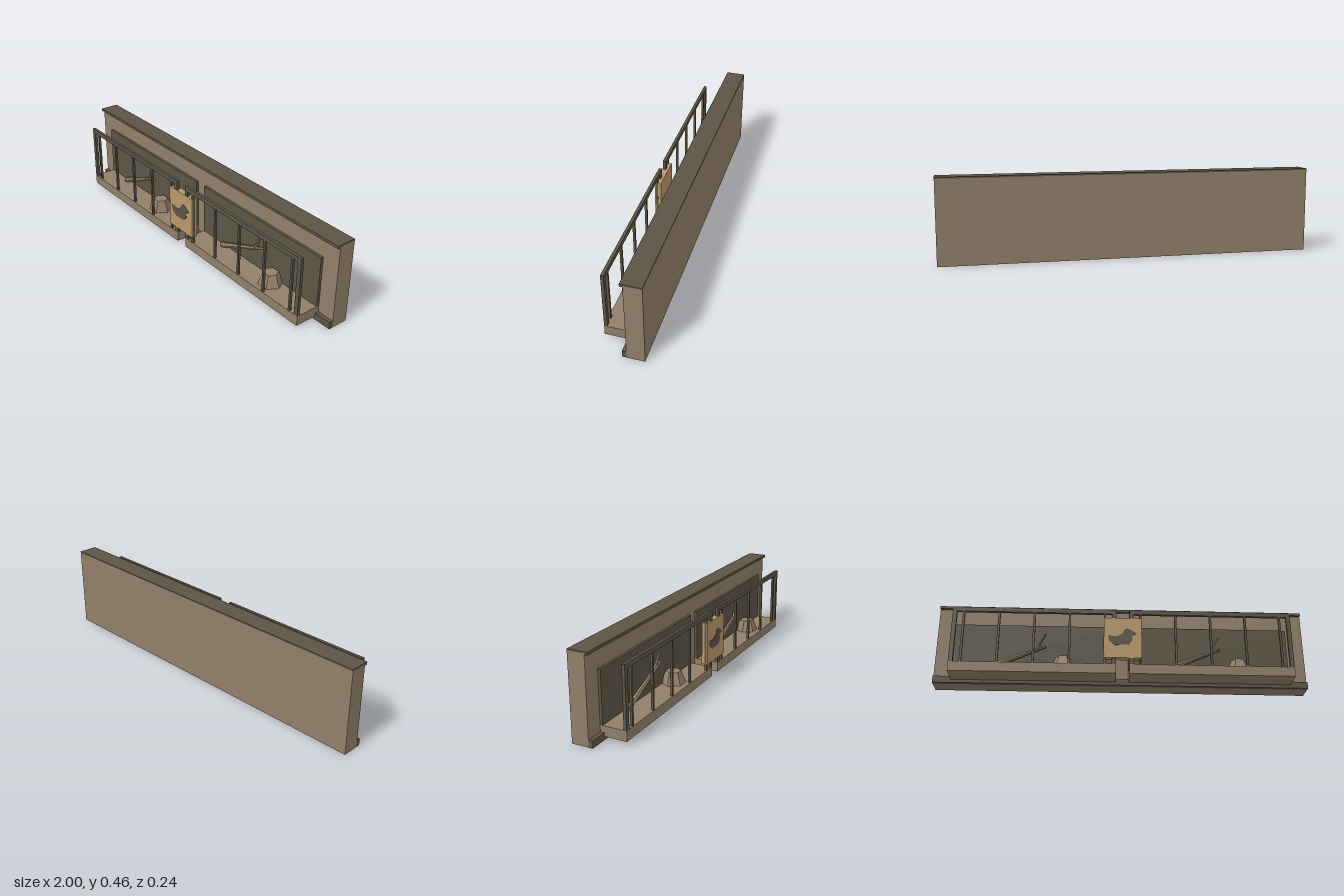
import * as THREE from 'three';

const mat = (name, color) => {
  const m = new THREE.MeshStandardMaterial({ color });
  m.name = name;
  return m;
};

export function createModel() {
  const model = new THREE.Group();
  model.name = 'wallDisplay';
  const tan = mat('tan', 0x917f69);
  const dark = mat('darkBrown', 0x5c5446);
  const gold = mat('goldenWood', 0xb8986c);

  const add = (parent, name, geometry, material) => {
    const mesh = new THREE.Mesh(geometry, material);
    mesh.name = name;
    parent.add(mesh);
    return mesh;
  };
  // Box given by its minimum and maximum on each axis
  const box = (parent, name, material, x0, x1, y0, y1, z0, z1) => {
    const mesh = add(parent, name, new THREE.BoxGeometry(x1 - x0, y1 - y0, z1 - z0), material);
    mesh.position.set((x0 + x1) / 2, (y0 + y1) / 2, (z0 + z1) / 2);
    return mesh;
  };
  // Tapered stick between two points
  const stick = (parent, name, a, b, r0, r1) => {
    const from = new THREE.Vector3(...a), to = new THREE.Vector3(...b);
    const dir = to.clone().sub(from);
    const geometry = new THREE.CylinderGeometry(r1, r0, dir.length(), 6).toNonIndexed();
    geometry.computeVertexNormals();
    const mesh = add(parent, name, geometry, tan);
    mesh.position.copy(from).add(to).multiplyScalar(0.5);
    mesh.quaternion.setFromUnitVectors(new THREE.Vector3(0, 1, 0), dir.normalize());
  };

  // Wall with cap and skirting
  box(model, 'wall', tan, -1, 1, 0, 0.447, -0.118, -0.028);
  box(model, 'cap', dark, -1, 1, 0.447, 0.455, -0.118, -0.013);
  box(model, 'capLip', dark, -1, 1, 0.44, 0.447, -0.028, -0.013);
  box(model, 'skirting', dark, -1, 1, 0, 0.037, -0.028, -0.007);

  // Two identical barred enclosures
  for (const side of [-1, 1]) {
    const bay = new THREE.Group();
    bay.name = side < 0 ? 'rightEnclosure' : 'leftEnclosure';
    bay.position.x = side * 0.47;
    model.add(bay);
    const w = 0.435;
    box(bay, 'tray', tan, -w, w, 0.018, 0.071, -0.028, 0.113);
    box(bay, 'backPanel', dark, -w, w, 0.071, 0.345, -0.028, -0.014);

    // Front frame and bars
    box(bay, 'topRail', dark, -w, w, 0.363, 0.388, 0.097, 0.113);
    for (const s of [-1, 1]) {
      const x = s * (w - 0.0115);
      box(bay, 'endPost', dark, x - 0.0115, x + 0.0115, 0.071, 0.363, 0.097, 0.113);
    }
    for (let i = -2; i <= 2; i++) {
      const x = i * 0.1875;
      box(bay, 'bar', dark, x - 0.006, x + 0.006, 0.071, 0.363, 0.099, 0.111);
    }

    // Hexagonal stump, corners pointing along x
    const stumpGeometry = new THREE.CylinderGeometry(0.04, 0.065, 0.064, 6).toNonIndexed();
    stumpGeometry.rotateY(Math.PI / 6);
    stumpGeometry.computeVertexNormals();
    add(bay, 'stump', stumpGeometry, tan).position.set(0.155, 0.103, 0.029);

    // Forked perch
    stick(bay, 'branch', [-0.25, 0.08, 0.004], [0.06, 0.213, 0.007], 0.016, 0.008);
    stick(bay, 'twig', [0.005, 0.19, 0.006], [0.056, 0.283, 0.012], 0.009, 0.005);
  }

  // Hanging sign with a bird silhouette
  box(model, 'signBoard', gold, -0.1, 0.1, 0.105, 0.335, 0.083, 0.117);
  const outline = [
    [-0.08, 0.232], [-0.03, 0.228], [0, 0.248], [0.004, 0.262], [0.022, 0.276],
    [0.046, 0.265], [0.076, 0.245], [0.046, 0.232], [0.052, 0.208],
    [0.03, 0.182], [-0.042, 0.178], [-0.07, 0.2]
  ];
  const bird = new THREE.Shape(outline.map(([x, y]) => new THREE.Vector2(x, y)));
  add(model, 'birdSilhouette',
    new THREE.ExtrudeGeometry(bird, { depth: 0.002, bevelEnabled: false }), dark).position.z = 0.1165;

  return model;
}
